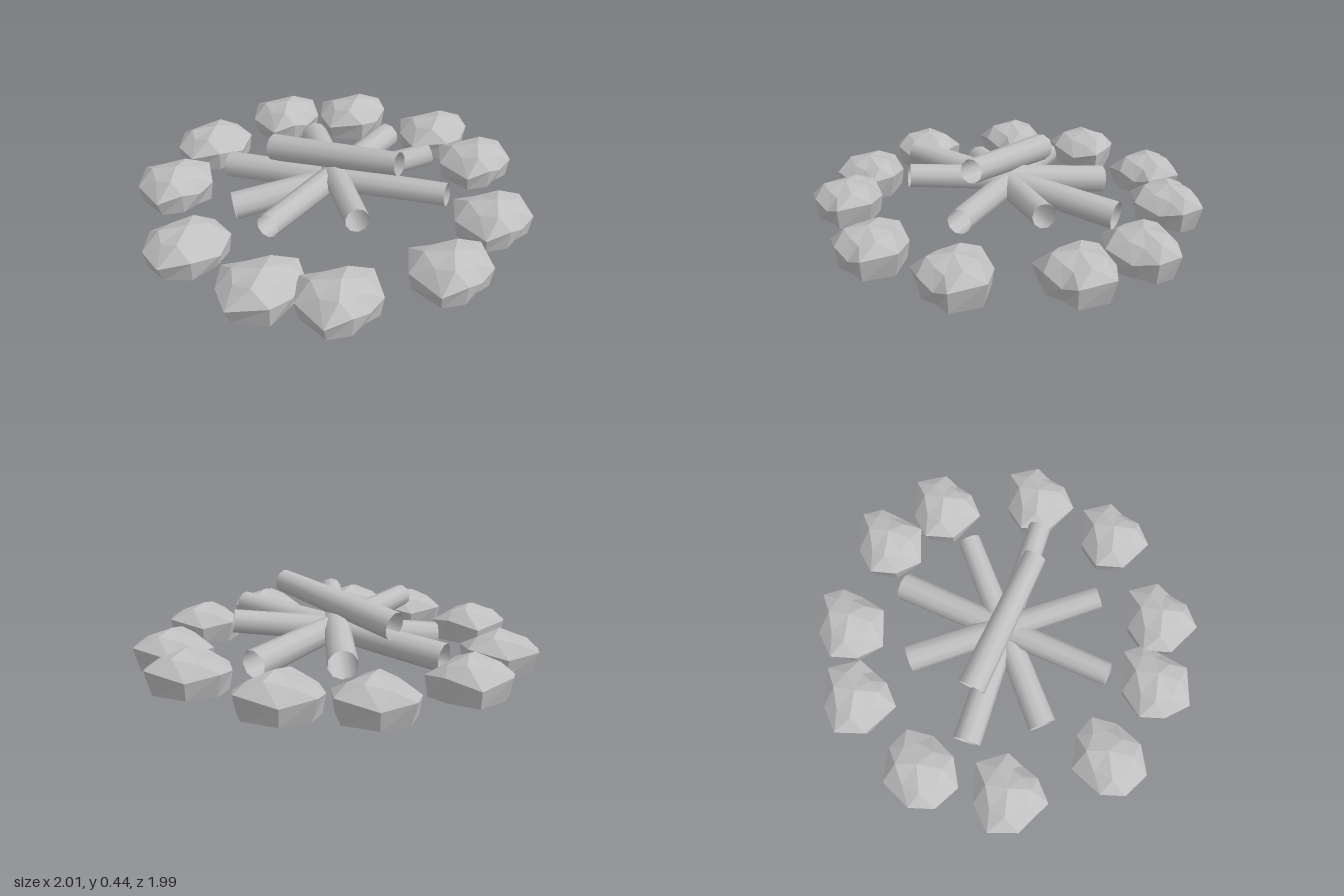
import * as THREE from 'three';

const stone = new THREE.MeshStandardMaterial({ color: 0xc0c0c0, flatShading: true });
stone.name = 'stone grey';
const wood = new THREE.MeshStandardMaterial({ color: 0xc0c0c0, side: THREE.DoubleSide });
wood.name = 'log grey';

// Stone outlines seen from above, [x, z], clockwise from the left tip
const OUTLINES = {
  notched: [[-0.195, -0.01], [-0.145, -0.155], [0.01, -0.175], [0.19, -0.10], [0.185, 0.07], [0.11, 0.115], [0.02, 0.165], [-0.11, 0.175]],
  round: [[-0.21, 0.02], [-0.165, -0.10], [0, -0.185], [0.145, -0.105], [0.21, 0.005], [0.14, 0.12], [0, 0.185], [-0.15, 0.16]],
  skewed: [[-0.2, -0.03], [-0.155, -0.155], [0.005, -0.18], [0.19, -0.10], [0.195, 0.01], [0.12, 0.10], [0.005, 0.18], [-0.18, 0.12]],
};
const RIM_Y = [0.115, 0.14, 0.11, 0.15, 0.13, 0.10, 0.135, 0.11];
const SHOULDER_Y = [0.19, 0.175, 0.2, 0.185, 0.165, 0.18, 0.195, 0.175];

// Faceted stone: flat base ring, wide rim, staggered shoulder ring and peak
function stoneGeometry(outline, keelY) {
  const n = outline.length;
  const base = outline.map(([x, z], i) => [x * (i % 2 ? 0.84 : 0.92), 0.025, z * (i % 2 ? 0.84 : 0.92)]);
  const rim = outline.map(([x, z], i) => [x, RIM_Y[i], z]);
  const shoulder = outline.map(([x, z], i) => {
    const [x2, z2] = outline[(i + 1) % n];
    return [(x + x2) * 0.33, SHOULDER_Y[i], (z + z2) * 0.33];
  });
  const peak = [0.01, 0.218, 0.005];
  const keel = [0.055, keelY, 0.02];
  const pos = [];
  const face = (...corners) => corners.forEach((c) => pos.push(...c));
  for (let i = 0; i < n; i++) {
    const j = (i + 1) % n;
    face(keel, base[i], base[j]);
    face(rim[i], base[j], base[i]);
    face(rim[i], rim[j], base[j]);
    face(shoulder[i], rim[j], rim[i]);
    face(shoulder[i], shoulder[j], rim[j]);
    face(peak, shoulder[j], shoulder[i]);
  }
  const geometry = new THREE.BufferGeometry();
  geometry.setAttribute('position', new THREE.Float32BufferAttribute(pos, 3));
  geometry.computeVertexNormals();
  return geometry;
}

// Open tapered log from its thick end to its thin end
function log(from, to) {
  const a = new THREE.Vector3(...from);
  const b = new THREE.Vector3(...to);
  const dir = b.clone().sub(a);
  const mesh = new THREE.Mesh(new THREE.CylinderGeometry(0.059, 0.073, dir.length(), 10, 1, true), wood);
  mesh.position.copy(a).add(b).multiplyScalar(0.5);
  mesh.quaternion.setFromUnitVectors(new THREE.Vector3(0, 1, 0), dir.normalize());
  mesh.name = 'log';
  return mesh;
}

export function createModel() {
  const model = new THREE.Group();
  model.name = 'campfire';

  // Ring of stones: x, z, outline, lowest point of the underside
  const ring = new THREE.Group();
  ring.name = 'stoneRing';
  [
    [-0.09, -0.825, 'notched', 0.025],
    [0.315, -0.745, 'skewed', 0.025],
    [0.715, -0.415, 'skewed', 0],
    [0.815, -0.07, 'notched', 0.025],
    [0.69, 0.445, 'notched', 0.025],
    [0.34, 0.755, 'notched', 0],
    [-0.195, 0.81, 'notched', 0.025],
    [-0.505, 0.655, 'skewed', 0],
    [-0.79, 0.27, 'round', 0.025],
    [-0.8, -0.255, 'notched', 0.025],
    [-0.545, -0.635, 'round', 0.025],
  ].forEach(([x, z, kind, keelY]) => {
    const mesh = new THREE.Mesh(stoneGeometry(OUTLINES[kind], keelY), stone);
    mesh.position.set(x, 0, z);
    mesh.name = 'stone';
    ring.add(mesh);
  });
  model.add(ring);

  // Crossed logs, the shortest one resting on top
  const logs = new THREE.Group();
  logs.name = 'logs';
  logs.add(
    log([0.015, 0.145, -0.51], [-0.027, 0.272, 0.51]),
    log([-0.535, 0.11, 0.025], [0.52, 0.232, -0.015]),
    log([0.42, 0.13, -0.42], [-0.425, 0.245, 0.41]),
    log([-0.49, 0.115, -0.365], [0.47, 0.235, 0.37]),
    log([-0.265, 0.25, -0.26], [0.255, 0.378, 0.26]),
  );
  model.add(logs);
  return model;
}
